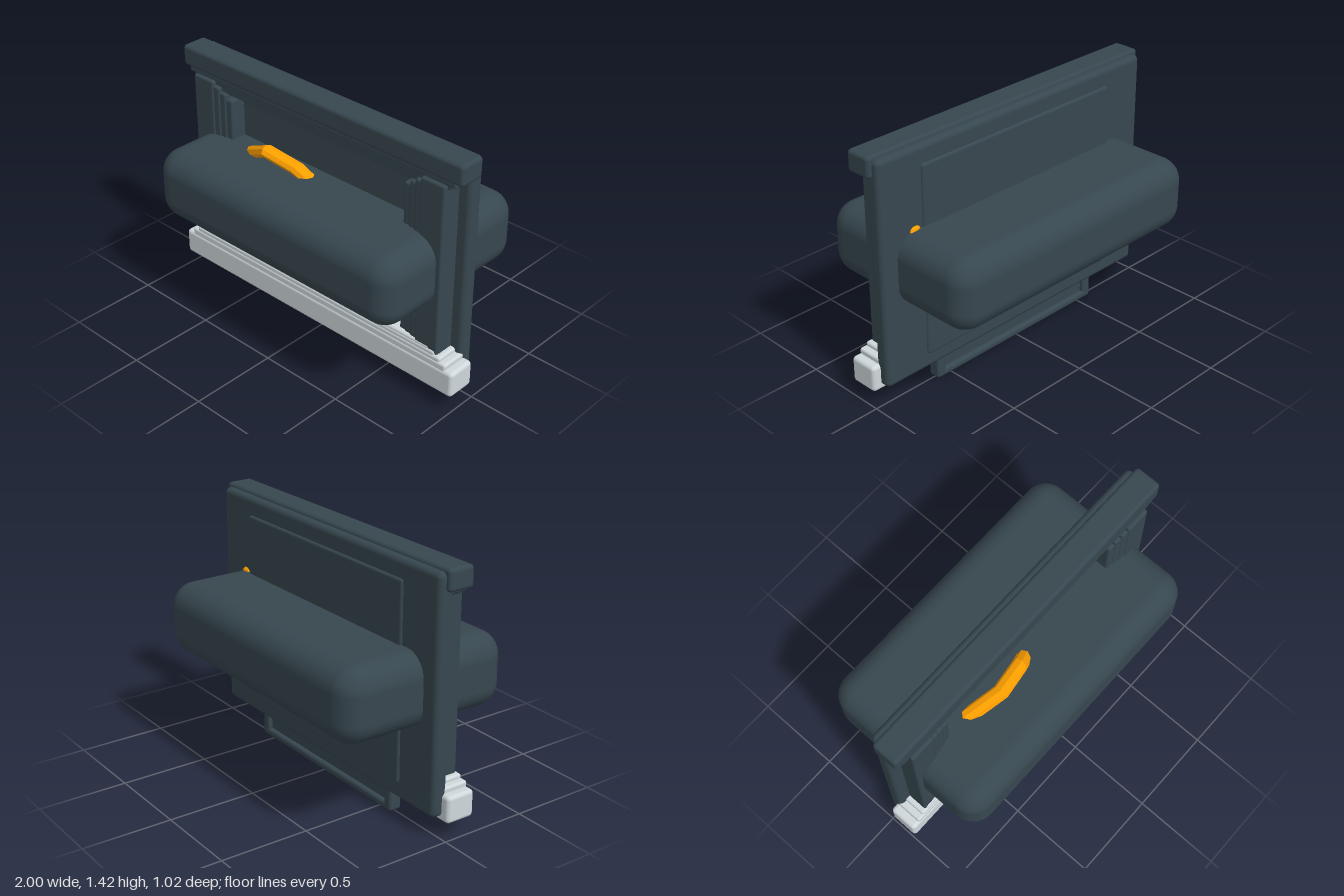
import * as THREE from 'three';
import { RoundedBoxGeometry } from 'three/addons/geometries/RoundedBoxGeometry.js';

const dark = new THREE.MeshStandardMaterial({ color: 0x37474f });
const pale = new THREE.MeshStandardMaterial({ color: 0xcfd8dc });
const amber = new THREE.MeshStandardMaterial({ color: 0xffa000, flatShading: true });

export function createModel() {
  const model = new THREE.Group();

  // Rounded block given by its extents on each axis
  const block = (name, [x0, x1], [y0, y1], [z0, z1], radius, material = dark, segments = 3) => {
    const mesh = new THREE.Mesh(
      new RoundedBoxGeometry(x1 - x0, y1 - y0, z1 - z0, segments, radius), material);
    mesh.position.set((x0 + x1) / 2, (y0 + y1) / 2, (z0 + z1) / 2);
    mesh.name = name;
    model.add(mesh);
    return mesh;
  };

  // Upright slab with a shallow raised field on its back
  block('backSlab', [-0.95, 0.95], [0.12, 1.41], [-0.045, 0.045], 0.03);
  block('backField', [-0.68, 0.68], [0.21, 1.31], [-0.057, 0.02], 0.015);

  // Long cushion-shaped block through the slab
  block('cushionBlock', [-0.85, 0.85], [0.56, 0.97], [-0.51, 0.51], 0.13, dark, 8);

  // Slim upright strip showing on both faces
  const strip = new THREE.Mesh(new THREE.BoxGeometry(0.036, 0.5, 0.12), pale);
  strip.position.set(-0.003, 0.56, 0);
  strip.name = 'centreStrip';
  model.add(strip);

  // Lintel with mouldings stepping down below it
  block('lintel', [-0.975, 0.975], [1.31, 1.43], [-0.007, 0.147], 0.022);
  [[0.93, 1.285], [0.9, 1.265], [0.87, 1.245], [0.84, 1.225]].forEach(([w, y], i) =>
    block('lintelMoulding', [-w, w], [y, 1.34], [0, 0.142 - i * 0.006], 0.012));

  // Jambs with mouldings stepping inwards
  for (const side of [-1, 1]) {
    for (let i = 0; i < 4; i++) {
      const inner = 0.73 - i * 0.04;
      const xs = [side * inner, side * 0.88].sort((a, b) => a - b);
      block('jambMoulding', xs, [0.14, 1.29 - i * 0.028], [0, 0.16 - i * 0.008], 0.014);
    }
  }

  // Pale sill with stepped mouldings above it
  block('sill', [-1, 1], [0.095, 0.247], [0.01, 0.18], 0.022, pale);
  [[0.95, 0.277], [0.91, 0.3], [0.87, 0.32], [0.83, 0.333]].forEach(([w, y], i) =>
    block('sillMoulding', [-w, w], [0.12, y], [0.02, 0.175 - i * 0.004], 0.014, pale));

  // Foot tray: thin plate with a raised rim on the back
  block('footPlate', [-0.6, 0.6], [0.005, 0.15], [-0.012, 0.038], 0.018);
  block('footRim', [-0.6, 0.6], [0.005, 0.05], [-0.037, 0.036], 0.018);
  for (const side of [-1, 1]) {
    const xs = [side * 0.54, side * 0.6].sort((a, b) => a - b);
    block('footEnd', xs, [0.005, 0.15], [-0.037, 0.036], 0.018);
  }

  // Faceted arched handle leaning forward out of the block
  const path = [[-0.55, 0.905, 0.1], [-0.285, 1.047, 0.19], [-0.1, 1.0, 0.155], [0.02, 0.9, 0.11]]
    .map(p => new THREE.Vector3(...p));
  const sides = 8, points = [], faces = [];
  path.forEach((p, i) => {
    const t = path[Math.min(i + 1, 3)].clone().sub(path[Math.max(i - 1, 0)]).setZ(0).normalize();
    for (let k = 0; k < sides; k++) {
      const a = k / sides * Math.PI * 2, u = Math.cos(a) * 0.034;
      points.push(p.x - t.y * u, p.y + t.x * u, p.z + Math.sin(a) * 0.044);
      const next = (k + 1) % sides, r = i * sides;
      if (i < 3) faces.push(r + k, r + next, r + sides + k, r + next, r + sides + next, r + sides + k);
    }
  });
  const handleGeometry = new THREE.BufferGeometry();
  handleGeometry.setAttribute('position', new THREE.Float32BufferAttribute(points, 3));
  handleGeometry.setIndex(faces);
  handleGeometry.computeVertexNormals();
  const handle = new THREE.Mesh(handleGeometry, amber);
  handle.material.side = THREE.DoubleSide;
  handle.name = 'handle';
  model.add(handle);

  // Small tip peeking out at the back
  const tip = new THREE.Mesh(new THREE.SphereGeometry(0.04, 8, 6), amber);
  tip.scale.set(1, 0.7, 0.6);
  tip.position.set(0.73, 0.965, -0.037);
  tip.name = 'rearTip';
  model.add(tip);

  return model;
}
